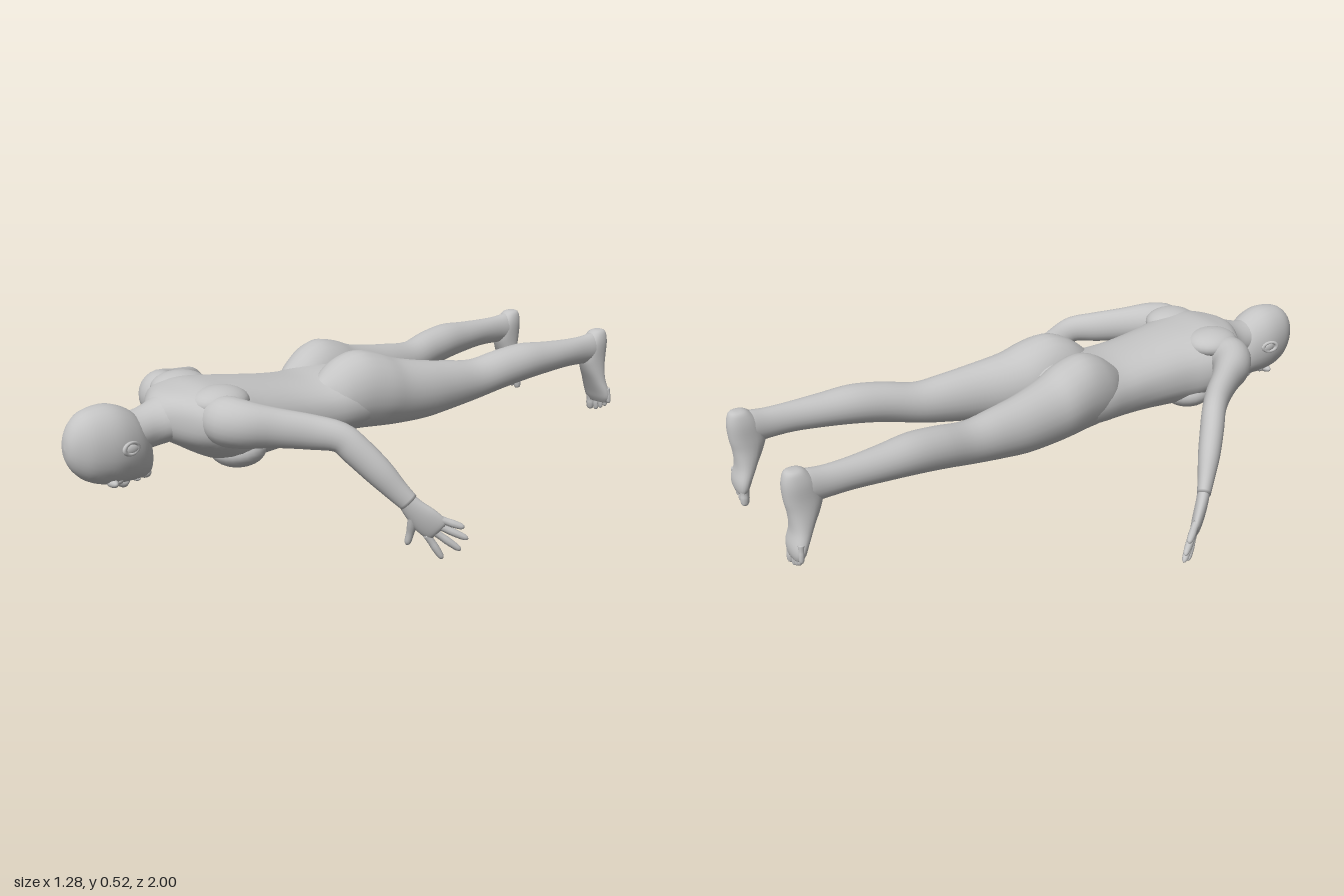
import * as THREE from 'three';

const V = (x, y, z) => new THREE.Vector3(x, y, z);
const X = V(1, 0, 0), Y = V(0, 1, 0), Z = V(0, 0, 1);

// Catmull-Rom blend of rows of numbers
function refine(rows, steps) {
  const out = [], n = rows.length;
  for (let i = 0; i < n - 1; i++) {
    const a = rows[Math.max(i - 1, 0)], b = rows[i], c = rows[i + 1], d = rows[Math.min(i + 2, n - 1)];
    for (let s = 0; s < steps; s++) {
      const t = s / steps;
      out.push(b.map((_, k) => 0.5 * (2 * b[k] + (c[k] - a[k]) * t
        + (2 * a[k] - 5 * b[k] + 4 * c[k] - d[k]) * t * t + (3 * b[k] - a[k] - 3 * c[k] + d[k]) * t ** 3)));
    }
  }
  out.push(rows[n - 1]);
  return out;
}

// Smooth closed skin through oval sections [x, y, z, halfWidth, halfHeight].
// v is the height direction; u fixes the width direction, otherwise sections follow the path.
function loft(rows, v, u = null, power = 1, sides = 24) {
  const r = refine(rows, 4), n = r.length, pos = [], idx = [];
  const at = (i) => V(...r[Math.min(Math.max(i, 0), n - 1)].slice(0, 3));
  const bend = (t) => Math.sign(t) * Math.abs(t) ** power;
  for (let i = 0; i < n; i++) {
    const c = at(i), t = at(i + 1).sub(at(i - 1)).normalize();
    const vv = u ? v.clone() : v.clone().addScaledVector(t, -v.dot(t)).normalize();
    const uu = u ? u.clone() : vv.clone().cross(t).normalize();
    if (uu.clone().cross(vv).dot(t) < 0) uu.negate();
    for (let j = 0; j < sides; j++) {
      const a = j / sides * Math.PI * 2;
      const p = c.clone().addScaledVector(uu, bend(Math.cos(a)) * Math.max(r[i][3], 0.001))
        .addScaledVector(vv, bend(Math.sin(a)) * Math.max(r[i][4], 0.001));
      pos.push(p.x, p.y, p.z);
      const k = (j + 1) % sides, q = i * sides;
      if (i < n - 1) idx.push(q + j, q + k, q + sides + j, q + k, q + sides + k, q + sides + j);
    }
  }
  // end caps
  pos.push(...at(0).toArray(), ...at(n - 1).toArray());
  for (let j = 0; j < sides; j++) {
    const k = (j + 1) % sides, e = (n - 1) * sides;
    idx.push(n * sides, k, j, n * sides + 1, e + j, e + k);
  }
  const g = new THREE.BufferGeometry();
  g.setAttribute('position', new THREE.Float32BufferAttribute(pos, 3));
  g.setIndex(idx);
  g.computeVertexNormals();
  return g;
}

// Section along z from its bottom and top heights
const span = ([z, x, w, bottom, top]) => [x, (bottom + top) / 2, z, w, (top - bottom) / 2];
const ball = (x, y, z, rx, ry, rz) => new THREE.SphereGeometry(1, 24, 16).scale(rx, ry, rz).translate(x, y, z);

// Tapered digit with a rounded tip
function digit(a, b, r, hint) {
  const p = (t, k) => [...a.clone().lerp(b, t).toArray(), r * k, r * k];
  return loft([p(0, 1.05), p(0.3, 0.95), p(0.55, 1), p(0.85, 0.82), p(0.96, 0.5), p(1, 0.02)], hint, null, 1, 10);
}

export function createModel() {
  const group = new THREE.Group();
  const skin = new THREE.MeshStandardMaterial({ color: 0xc4c4c4 });
  skin.name = 'skin grey';

  const add = (name, g) => {
    const m = new THREE.Mesh(g, skin);
    m.name = name;
    group.add(m);
  };
  // Adds a left part and its mirrored right twin
  const pair = (name, g) => {
    add('left' + name, g);
    const m = g.clone().scale(-1, 1, 1), ix = m.index.array;
    for (let i = 0; i < ix.length; i += 3) [ix[i], ix[i + 1]] = [ix[i + 1], ix[i]];
    m.computeVertexNormals();
    add('right' + name, m);
  };

  // Torso, from the shoulders to the groin
  add('torso', loft([
    [0.72, 0, 0.05, 0.37, 0.45], [0.69, 0, 0.1, 0.34, 0.475], [0.64, 0, 0.175, 0.31, 0.49],
    [0.58, 0, 0.2, 0.275, 0.5], [0.5, 0, 0.185, 0.245, 0.493], [0.42, 0, 0.166, 0.242, 0.483],
    [0.3, 0, 0.157, 0.25, 0.466], [0.2, 0, 0.165, 0.257, 0.458], [0.1, 0, 0.183, 0.262, 0.465],
    [0, 0, 0.18, 0.27, 0.455], [-0.05, 0, 0.11, 0.275, 0.42], [-0.075, 0, 0.03, 0.29, 0.37],
  ].map(span), Y, X, 0.88, 32));
  pair('Chest', ball(0.085, 0.29, 0.485, 0.085, 0.053, 0.085));
  pair('ShoulderBlade', ball(0.11, 0.455, 0.56, 0.08, 0.045, 0.09));

  // Neck and head, face down
  add('neck', loft([
    [0.84, 0, 0.06, 0.32, 0.44], [0.78, 0, 0.062, 0.32, 0.442], [0.73, 0, 0.066, 0.325, 0.455],
    [0.68, 0, 0.09, 0.335, 0.475], [0.62, 0, 0.12, 0.36, 0.485],
  ].map(span), Y, X));
  add('head', loft([
    [1, 0, 0.002, 0.365, 0.37], [0.994, 0, 0.027, 0.33, 0.405], [0.975, 0, 0.05, 0.295, 0.44],
    [0.94, 0, 0.073, 0.264, 0.467], [0.89, 0, 0.086, 0.246, 0.477], [0.845, 0, 0.087, 0.241, 0.472],
    [0.8, 0, 0.077, 0.24, 0.45], [0.77, 0, 0.063, 0.241, 0.42], [0.75, 0, 0.047, 0.247, 0.385],
    [0.738, 0, 0.025, 0.263, 0.34], [0.735, 0, 0.002, 0.29, 0.3],
  ].map(span), Y, X, 0.95, 28));
  add('nose', loft([
    [0, 0.255, 0.875, 0.006, 0.008], [0, 0.245, 0.85, 0.011, 0.012], [0, 0.236, 0.825, 0.017, 0.016],
    [0, 0.242, 0.81, 0.014, 0.012], [0, 0.25, 0.805, 0.002, 0.002],
  ], Y, X, 1, 14));
  add('lips', ball(0, 0.243, 0.785, 0.026, 0.01, 0.011));
  add('chin', ball(0, 0.254, 0.757, 0.03, 0.018, 0.02));
  pair('Brow', ball(0.034, 0.256, 0.878, 0.032, 0.014, 0.014));
  pair('Eye', ball(0.034, 0.262, 0.855, 0.018, 0.016, 0.012));
  // Ears: a rim and a lobe standing off the skull
  pair('EarRim', new THREE.TorusGeometry(0.021, 0.006, 8, 20).rotateY(Math.PI / 2)
    .scale(1, 0.8, 1.2).rotateY(0.25).translate(0.094, 0.364, 0.843));
  pair('EarInner', ball(0.088, 0.36, 0.84, 0.009, 0.016, 0.024));

  // Arms, bent at the elbow
  pair('Arm', loft([
    [0.1, 0.415, 0.585, 0.045, 0.05], [0.17, 0.415, 0.585, 0.068, 0.072], [0.225, 0.41, 0.555, 0.062, 0.07],
    [0.28, 0.4, 0.485, 0.046, 0.059], [0.34, 0.387, 0.405, 0.04, 0.052], [0.395, 0.373, 0.345, 0.037, 0.045],
    [0.43, 0.335, 0.312, 0.037, 0.046], [0.475, 0.275, 0.268, 0.034, 0.043],
    [0.51, 0.222, 0.232, 0.026, 0.035], [0.535, 0.185, 0.205, 0.021, 0.03],
  ], V(0.25, 0.9, -0.2)));

  // Hands with spread fingers
  const across = V(0.45, 0.75, -0.3).normalize();
  pair('Palm', loft([
    [0.525, 0.2, 0.215, 0.019, 0.026], [0.543, 0.165, 0.193, 0.019, 0.034], [0.563, 0.13, 0.165, 0.018, 0.043],
    [0.58, 0.102, 0.14, 0.014, 0.042], [0.585, 0.094, 0.132, 0.006, 0.034],
  ], across));
  const tips = [[0.585, 0.004, 0.115], [0.617, 0.03, 0.073], [0.635, 0.068, 0.062], [0.632, 0.106, 0.076]];
  tips.forEach((tip, i) => {
    const knuckle = V(0.574, 0.108, 0.145).addScaledVector(across, -0.032 + i * 0.021);
    pair('Finger' + (i + 1), digit(knuckle, V(...tip), 0.0115, across));
  });
  pair('Thumb', loft([
    [0.545, 0.16, 0.19, 0.014, 0.02], [0.533, 0.115, 0.188, 0.014, 0.017], [0.524, 0.085, 0.188, 0.012, 0.012],
    [0.516, 0.055, 0.19, 0.01, 0.01], [0.513, 0.044, 0.192, 0.002, 0.002],
  ], Z, null, 1, 12));

  // Legs, from the buttock to the ankle
  pair('Leg', loft([
    [0.2, 0.085, 0.03, 0.35, 0.43], [0.15, 0.085, 0.075, 0.285, 0.475], [0.1, 0.09, 0.092, 0.275, 0.508],
    [0.04, 0.098, 0.1, 0.274, 0.523], [-0.03, 0.106, 0.104, 0.27, 0.508], [-0.1, 0.118, 0.094, 0.268, 0.482],
    [-0.2, 0.138, 0.079, 0.272, 0.462], [-0.3, 0.15, 0.068, 0.285, 0.448], [-0.4, 0.162, 0.06, 0.302, 0.438],
    [-0.5, 0.18, 0.06, 0.325, 0.457], [-0.6, 0.193, 0.06, 0.342, 0.468], [-0.7, 0.203, 0.051, 0.353, 0.461],
    [-0.8, 0.21, 0.04, 0.36, 0.456], [-0.88, 0.212, 0.034, 0.358, 0.456], [-0.94, 0.212, 0.034, 0.355, 0.462],
    [-0.97, 0.212, 0.025, 0.37, 0.45],
  ].map(span), Y, X));

  // Feet pointing down, soles facing back: [y, x, halfWidth, zBack, zFront]
  pair('Foot', loft([
    [0.472, 0.212, 0.008, -0.975, -0.95], [0.464, 0.212, 0.026, -0.99, -0.93], [0.43, 0.212, 0.036, -0.999, -0.9],
    [0.38, 0.212, 0.037, -0.997, -0.885], [0.34, 0.213, 0.039, -0.99, -0.897], [0.29, 0.214, 0.045, -0.988, -0.924],
    [0.25, 0.216, 0.052, -0.998, -0.945], [0.225, 0.217, 0.051, -0.999, -0.957], [0.207, 0.216, 0.042, -0.995, -0.968],
  ].map(([y, x, w, b, f]) => [x, y, (b + f) / 2, w, (f - b) / 2]), Z, X, 0.9));
  // Toes shrink from the big inner toe outward
  const toes = [[0.182, 0.168, 0.0145], [0.209, 0.171, 0.0105], [0.23, 0.181, 0.01], [0.249, 0.192, 0.0095], [0.265, 0.206, 0.009]];
  toes.forEach(([x, y, r], i) =>
    pair('Toe' + (i + 1), digit(V(x * 0.9 + 0.0216, y + 0.055, -0.978), V(x, y, -0.983), r, Z)));

  return group;
}
